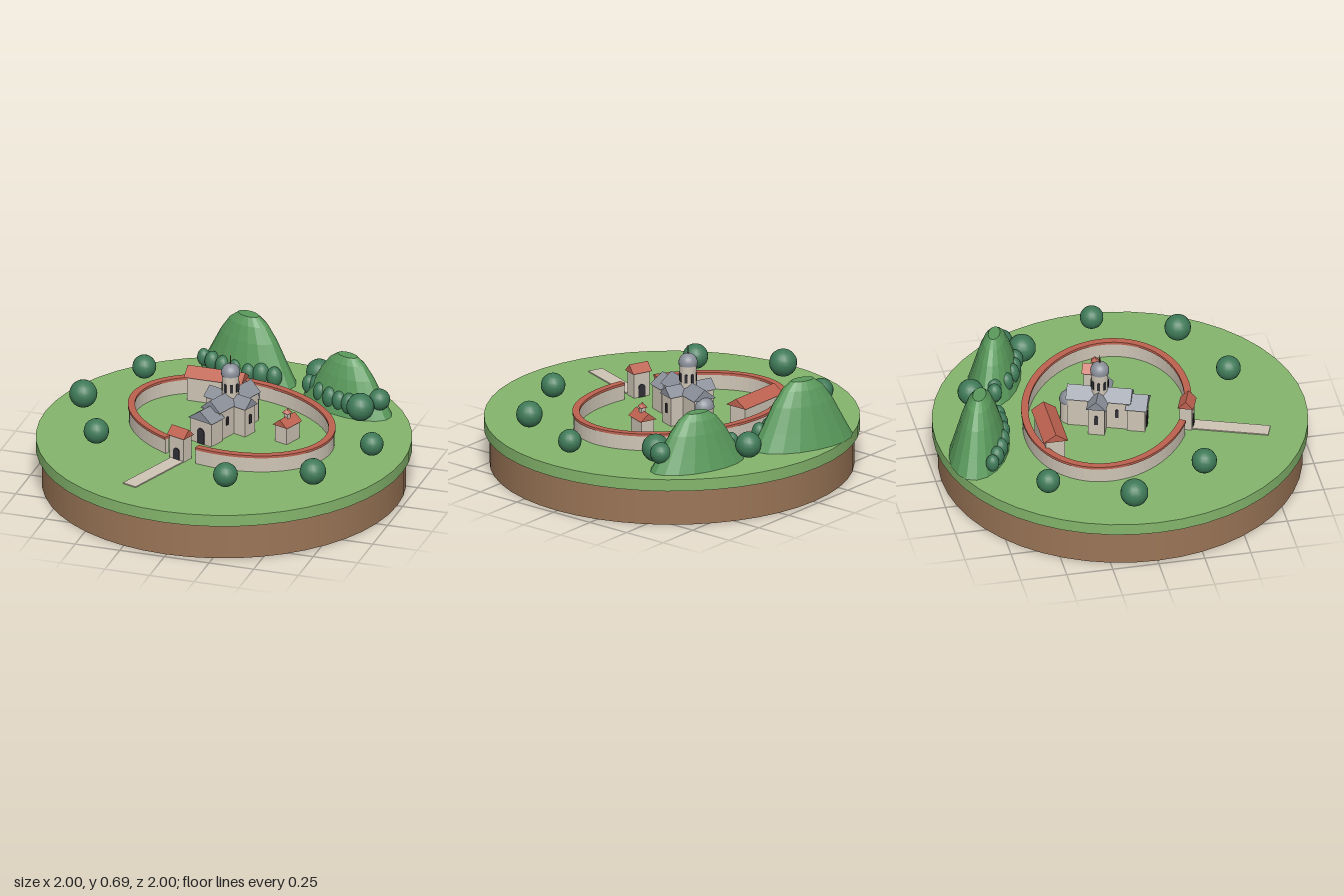
import * as THREE from 'three';

const mat = (name, color, extra = {}) => {
  const m = new THREE.MeshStandardMaterial({ color, ...extra });
  m.name = name;
  return m;
};
const M = {
  earth: mat('earth', 0x9b7657),
  grass: mat('grass', 0x84b56c),
  hill: mat('hill green', 0x5a9a5c, { flatShading: true }),
  leaf: mat('leaf green', 0x3f7a58),
  stone: mat('pale stone', 0xcfc5b6),
  tile: mat('red tile', 0xbe6250),
  slate: mat('slate', 0x8a8f99),
  dark: mat('dark opening', 0x2f2f35),
  path: mat('path', 0xd0c5b6),
  wood: mat('spire brown', 0x7a4f3a),
};
const GROUND = 0.265, TURN = -0.35;

function add(parent, name, geo, material, x = 0, y = 0, z = 0) {
  const m = new THREE.Mesh(geo, material);
  m.name = name;
  m.position.set(x, y, z);
  parent.add(m);
  return m;
}
function group(parent, name, x, z, turn = 0) {
  const g = new THREE.Group();
  g.name = name;
  g.position.set(x, GROUND, z);
  g.rotation.y = turn;
  parent.add(g);
  return g;
}
// triangular prism roof, ridge along z
function roofGeo(w, h, d) {
  const s = new THREE.Shape();
  s.moveTo(-w / 2, 0);
  s.lineTo(w / 2, 0);
  s.lineTo(0, h);
  return new THREE.ExtrudeGeometry(s, { depth: d, bevelEnabled: false }).translate(0, 0, -d / 2);
}
// walls with an overhanging gable roof; ridge runs along z, or along x
function house(parent, name, [w, d], eave, ridge, roofMat, alongX = false, z = 0, over = 0.02) {
  const walls = new THREE.BoxGeometry(w, eave, d);
  add(parent, name + 'Walls', walls, M.stone, 0, eave / 2, z);
  const rw = w + over, rd = d + over;
  const r = add(parent, name + 'Roof', alongX ? roofGeo(rd, ridge - eave, rw) : roofGeo(rw, ridge - eave, rd),
    roofMat, 0, eave, z);
  if (alongX) r.rotation.y = Math.PI / 2;
}
// thin arched plate facing +z
function archGeo(w, h) {
  const s = new THREE.Shape();
  s.moveTo(-w / 2, 0);
  s.lineTo(w / 2, 0);
  s.lineTo(w / 2, h - w / 2);
  s.absarc(0, h - w / 2, w / 2, 0, Math.PI);
  return new THREE.ExtrudeGeometry(s, { depth: 0.006, bevelEnabled: false, curveSegments: 6 }).translate(0, 0, -0.003);
}
function opening(parent, name, w, h, x, y, z, turn = 0) {
  add(parent, name, archGeo(w, h), M.dark, x, y, z).rotation.y = turn;
}
// curved band following the elliptical enclosure, open at the gate
function wallBand(a, b, half, h) {
  const gap = 0.17, n = 72, s = new THREE.Shape();
  for (const side of [1, -1]) {
    for (let i = 0; i <= n; i++) {
      const k = side > 0 ? i : n - i;
      const t = gap + (k / n) * (Math.PI * 2 - gap * 2);
      const x = Math.sin(t) * (a + side * half), y = -Math.cos(t) * (b + side * half);
      if (i === 0 && side > 0) s.moveTo(x, y);
      else s.lineTo(x, y);
    }
  }
  return new THREE.ExtrudeGeometry(s, { depth: h, bevelEnabled: false }).rotateX(-Math.PI / 2);
}

function buildChurch(root) {
  const c = group(root, 'church', 0, -0.11, TURN);
  house(c, 'nave', [0.115, 0.33], 0.165, 0.222, M.slate, false, 0.0);
  house(c, 'transept', [0.265, 0.088], 0.162, 0.212, M.slate, true);
  house(c, 'narthex', [0.14, 0.095], 0.135, 0.192, M.slate, false, 0.205);
  // rounded apse with half dome
  add(c, 'apseWall', new THREE.CylinderGeometry(0.052, 0.052, 0.125, 20), M.stone, 0, 0.0625, -0.16);
  add(c, 'apseDome', new THREE.SphereGeometry(0.058, 20, 8, 0, Math.PI * 2, 0, Math.PI / 2), M.slate, 0, 0.122, -0.16);
  // central drum, dome and spire
  add(c, 'drum', new THREE.CylinderGeometry(0.045, 0.045, 0.17, 20), M.stone, 0, 0.24, 0);
  add(c, 'drumCornice', new THREE.CylinderGeometry(0.05, 0.05, 0.012, 20), M.slate, 0, 0.319, 0);
  add(c, 'dome', new THREE.SphereGeometry(0.051, 20, 10, 0, Math.PI * 2, 0, Math.PI / 2), M.slate, 0, 0.325, 0);
  add(c, 'spire', new THREE.CylinderGeometry(0.002, 0.004, 0.05, 8), M.wood, 0, 0.397, 0);
  for (let i = 0; i < 8; i++) {
    const t = (i * Math.PI) / 4;
    opening(c, 'drumWindow', 0.015, 0.05, Math.sin(t) * 0.0445, 0.222, Math.cos(t) * 0.0445, t);
  }
  opening(c, 'churchDoor', 0.046, 0.09, 0, 0, 0.254);
  for (const s of [1, -1]) {
    const t = (s * Math.PI) / 2;
    opening(c, 'transeptWindow', 0.02, 0.055, s * 0.134, 0.065, 0, t);
    opening(c, 'naveWindow', 0.018, 0.05, s * 0.059, 0.07, 0.1, t);
  }
}

function buildCompound(root) {
  const site = group(root, 'compound', 0.02, -0.07, TURN);
  add(site, 'enclosureWall', wallBand(0.59, 0.43, 0.013, 0.082), M.stone);
  add(site, 'enclosureCap', wallBand(0.59, 0.43, 0.019, 0.014), M.tile, 0, 0.082, 0);
  add(site, 'path', new THREE.BoxGeometry(0.085, 0.006, 0.45), M.path, 0, 0.003, 0.65);

  const gate = group(root, 'gatehouse', -0.132, 0.336, TURN);
  house(gate, 'gatehouse', [0.095, 0.066], 0.138, 0.182, M.tile, true);
  opening(gate, 'gateFront', 0.042, 0.072, 0, 0, 0.034);
  opening(gate, 'gateBack', 0.042, 0.072, 0, 0, -0.034, Math.PI);

  const hall = group(root, 'longHall', -0.182, -0.42);
  house(hall, 'hall', [0.295, 0.105], 0.137, 0.182, M.tile, true, 0, 0.028);

  // small chapel with a bell turret
  const chapel = group(root, 'chapel', 0.332, -0.067, TURN);
  house(chapel, 'chapel', [0.078, 0.11], 0.098, 0.138, M.tile);
  add(chapel, 'bellTurret', new THREE.BoxGeometry(0.026, 0.045, 0.026), M.stone, 0, 0.135, 0);
  const cap = add(chapel, 'turretRoof', new THREE.ConeGeometry(0.028, 0.028, 4), M.tile, 0, 0.171, 0);
  cap.rotation.y = Math.PI / 4;
}

function buildHills(root) {
  const profile = [[1, 0], [0.82, 0.28], [0.59, 0.65], [0.4, 0.88], [0.22, 1], [0, 1]];
  const hills = [[-0.125, -0.79, 0.3, 0.158, 0.35], [0.5, -0.578, 0.28, 0.14, 0.295]];
  for (const [x, z, a, b, h] of hills) {
    const geo = new THREE.LatheGeometry(profile.map(([r, y]) => new THREE.Vector2(r, y)), 18);
    geo.scale(a, h, b);
    add(root, 'hill', geo, M.hill, x, GROUND, z).rotation.y = TURN;
  }
}

function buildTrees(root) {
  const tree = (name, x, z, r, y, stretch = 1) =>
    add(root, name, new THREE.SphereGeometry(r, 16, 12), M.leaf, x, y, z).scale.y = stretch;
  const trees = [
    [-0.62, -0.52, 0.064], [-0.82, 0.095 - 0.19, 0.075], [-0.605, 0.33, 0.068], [0.22, 0.635, 0.066],
    [0.648, 0.45, 0.071], [0.835, 0.022, 0.063], [0.282, -0.752, 0.07], [0.63, -0.4, 0.075],
  ];
  for (const [x, z, r] of trees) tree('tree', x, z, r, 0.352);
  // bushes along the feet of the hills
  const bushes = [
    [-0.37, -0.77, 0.036], [-0.31, -0.735, 0.042], [-0.24, -0.7, 0.042], [-0.16, -0.675, 0.042],
    [-0.08, -0.655, 0.04], [-0.01, -0.66, 0.05], [0.065, -0.65, 0.042], [0.27, -0.625, 0.04],
    [0.315, -0.62, 0.045], [0.36, -0.545, 0.042], [0.43, -0.5, 0.045], [0.49, -0.475, 0.042],
    [0.55, -0.455, 0.045],
  ];
  for (const [x, z, r] of bushes) tree('bush', x, z, r, 0.335, 1.35);
  tree('bush', 0.705, -0.495, 0.058, 0.365);
}

export function createModel() {
  const root = new THREE.Group();
  root.name = 'walledChurchDiorama';
  add(root, 'earthBase', new THREE.CylinderGeometry(0.97, 0.97, 0.2, 48), M.earth, 0, 0.1, 0);
  add(root, 'grassDisc', new THREE.CylinderGeometry(1, 1, 0.065, 48), M.grass, 0, 0.2325, 0);
  buildCompound(root);
  buildChurch(root);
  buildHills(root);
  buildTrees(root);
  return root;
}
